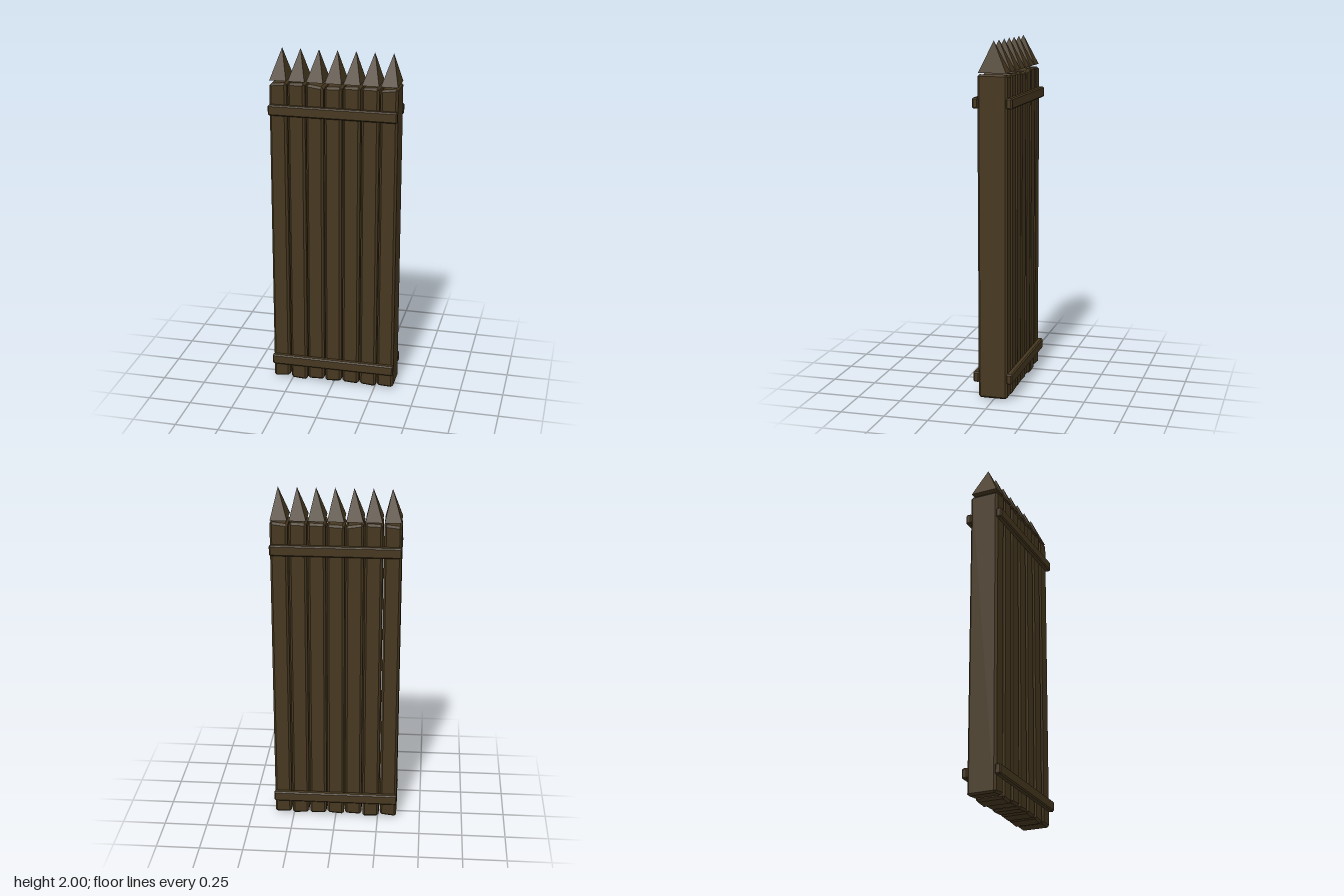
import * as THREE from 'three';
import { ConvexGeometry } from 'three/addons/geometries/ConvexGeometry.js';

// Box with chamfered edges; optional tilt of the bottom and top ends along x
function chamferBox(w, h, d, c, bottomTilt = 0, topTilt = 0) {
  const points = [];
  for (const sx of [-1, 1]) for (const sy of [-1, 1]) for (const sz of [-1, 1]) {
    for (let axis = 0; axis < 3; axis++) {
      const inset = [c, c, c];
      inset[axis] = 0;
      const x = sx * (w / 2 - inset[0]);
      const y = sy * (h / 2 - inset[1]) + (sy > 0 ? topTilt : bottomTilt) * x / w;
      points.push(new THREE.Vector3(x, y, sz * (d / 2 - inset[2])));
    }
  }
  return new ConvexGeometry(points);
}

// Four-sided spike standing on y = 0, its tip shifted along x
function spikeGeometry(w, h, d, shift) {
  const x = w / 2, z = d / 2;
  return new ConvexGeometry([
    new THREE.Vector3(-x, 0, -z), new THREE.Vector3(x, 0, -z),
    new THREE.Vector3(x, 0, z), new THREE.Vector3(-x, 0, z),
    new THREE.Vector3(shift, h, 0),
  ]);
}

export function createModel() {
  const group = new THREE.Group();
  const wood = new THREE.MeshStandardMaterial({ color: 0x46371f });
  wood.name = 'dark wood';
  wood.flatShading = true;

  const add = (geometry, name, x, y, z) => {
    const mesh = new THREE.Mesh(geometry, wood);
    mesh.name = name;
    mesh.position.set(x, y, z);
    group.add(mesh);
  };

  // Uneven sawn ends: [bottom, top, bottom tilt, top tilt] for each plank
  const ends = [
    [0.012, 1.817, 0.012, 0.01], [0.003, 1.822, -0.006, 0.004],
    [0.014, 1.815, 0.004, -0.014], [0.012, 1.812, 0.008, 0.004],
    [0.012, 1.819, -0.004, 0.002], [0.009, 1.82, -0.008, 0.004],
    [0.013, 1.818, -0.004, 0.012],
  ];

  // Planks with a separate spike on each
  ends.forEach(([bottom, top, bottomTilt, topTilt], i) => {
    const x = (i - 3) * 0.104;
    add(chamferBox(0.097, top - bottom, 0.168, 0.012, bottomTilt, topTilt),
      'plank', x, (top + bottom) / 2, 0);
    add(spikeGeometry(0.094, 0.17, 0.156, 0.008), 'spike', x, 1.83, 0);
  });

  // Cross rails on the front and back
  for (const y of [0.132, 1.668]) for (const side of [-1, 1]) {
    add(chamferBox(0.726, 0.06, 0.034, 0.007), side > 0 ? 'frontRail' : 'backRail',
      0, y, side * 0.095);
  }
  return group;
}
